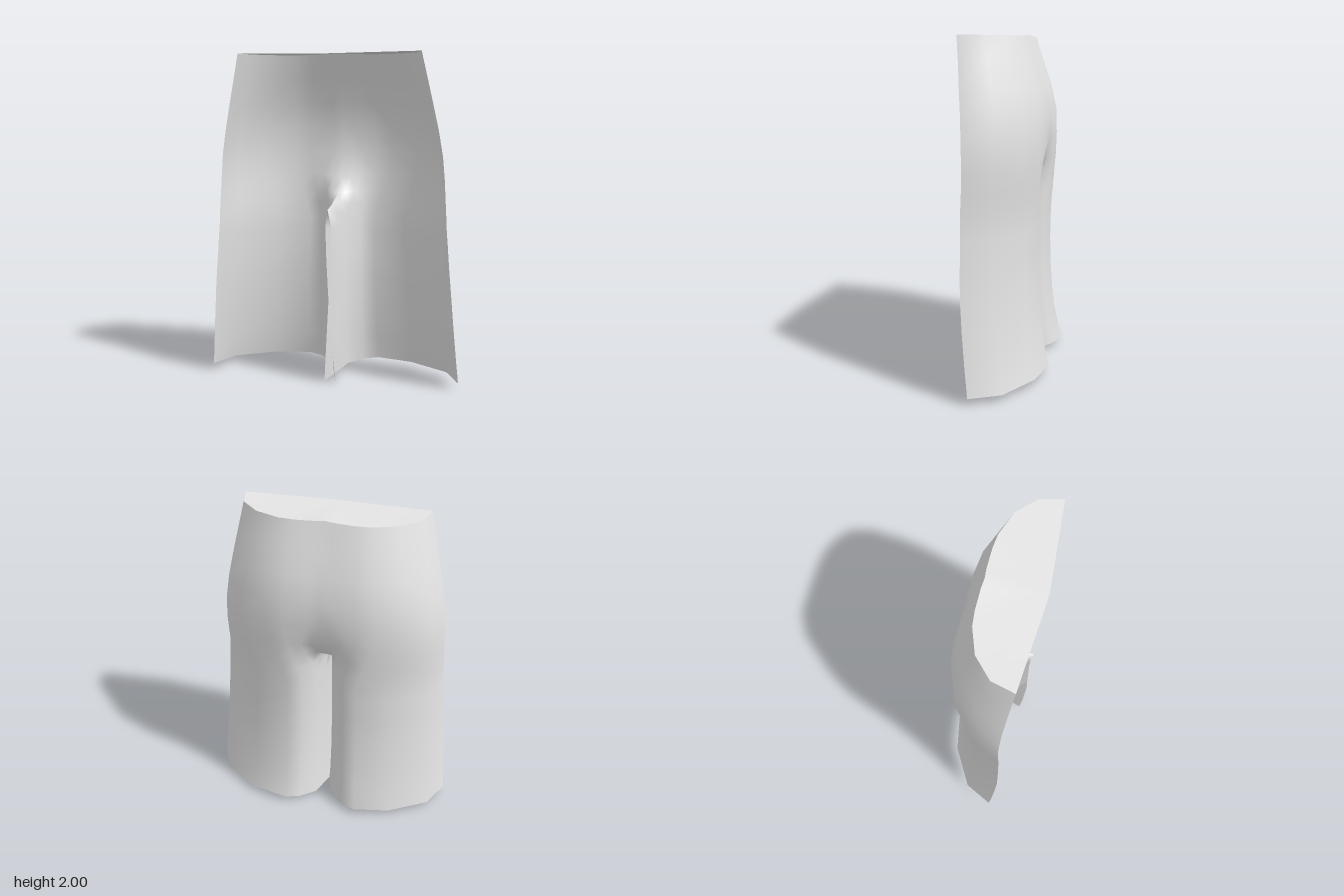
import * as THREE from 'three';
import { mergeVertices } from 'three/addons/utils/BufferGeometryUtils.js';

const lerp = THREE.MathUtils.lerp;

// Half cross-sections from the outer edge to the middle: [x / half width, depth fraction]
const HIP = [[1, 0], [0.94, 0.45], [0.74, 0.8], [0.48, 0.97], [0.32, 1], [0.2, 1], [0.1, 1]];
const LEG = [[1, 0], [0.89, 0.49], [0.585, 0.88], [0.3, 1], [0.18, 0.9], [0.068, 0.68], [0.026, 0.38]];
// How far each point's height follows the inner end
const PULL = [0, 0, 0, 0, 0.1, 0.35, 0.65];

// y, half width, z of outer edge, z of back, hip-to-leg blend, inner end x, y, z
const ROWS = [
  [1.99, 0.54, 0.205, -0.09, 0, 0, 2.0, -0.085],
  [1.85, 0.572, 0.19, -0.135, 0, 0, 1.85, -0.132],
  [1.7, 0.606, 0.177, -0.185, 0, 0, 1.7, -0.182],
  [1.55, 0.639, 0.163, -0.215, 0, 0, 1.55, -0.212],
  [1.4, 0.665, 0.155, -0.217, 0, 0, 1.38, -0.21],
  [1.27, 0.677, 0.15, -0.213, 0.2, 0, 1.23, -0.175],
  [1.16, 0.684, 0.152, -0.205, 0.5, 0, 1.145, -0.09],
  [1.07, 0.69, 0.155, -0.2, 0.8, 0, 1.105, 0.05],
  [0.98, 0.695, 0.155, -0.193, 1, 0, 1.08, 0.2],
  [0.9, 0.702, 0.155, -0.189, 1, 0.017, 0.98, 0.188],
];
const LEG_ROWS = [
  [0.75, 0.714, 0.155, -0.186, 1, 0.013, 0.78, 0.18],
  [0.6, 0.728, 0.153, -0.187, 1, 0.004, 0.6, 0.18],
  [0.4, 0.745, 0.14, -0.2, 1, -0.008, 0.38, 0.18],
  [0.2, 0.763, 0.122, -0.222, 1, -0.022, 0.18, 0.165],
  [0.045, 0.778, 0.105, -0.252, 1, -0.035, 0.005, 0.145],
];

// One row of points, on one side
function section([y, w, zEdge, zBack, t, ex, ey, ez], side) {
  const points = HIP.map(([hx, hf], i) => {
    const x = lerp(hx, LEG[i][0], t) * w;
    const z = lerp(zEdge, zBack, lerp(hf, LEG[i][1], t));
    return [side * x, lerp(y, ey, PULL[i]), z];
  });
  points.push([side * ex, ey, ez]);
  return points;
}

function shell(rows) {
  const pos = [], index = [];
  const n = HIP.length + 1;
  for (const side of [1, -1]) {
    const base = pos.length / 3;
    rows.forEach((row) => section(row, side).forEach((p) => pos.push(...p)));
    for (let r = 0; r < rows.length - 1; r++) {
      for (let c = 0; c < n - 1; c++) {
        const a = base + r * n + c, b = a + 1, d = a + n, e = d + 1;
        if (side > 0) index.push(a, d, b, b, d, e);
        else index.push(a, b, d, b, e, d);
      }
    }
  }
  let g = new THREE.BufferGeometry();
  g.setAttribute('position', new THREE.Float32BufferAttribute(pos, 3));
  g.setIndex(index);
  // Weld the centre seam so shading runs smoothly across it
  g = mergeVertices(g, 1e-4);
  g.computeVertexNormals();
  return g;
}

// Flat lid across the waist, fanned from its front point
function waistLid() {
  const left = section(ROWS[0], 1), right = section(ROWS[0], -1).reverse().slice(1);
  const rim = [...left, ...right];
  const pos = [0, 1.98, 0.245, ...rim.flat()];
  const index = [];
  for (let i = 1; i < rim.length; i++) index.push(0, i, i + 1);
  const g = new THREE.BufferGeometry();
  g.setAttribute('position', new THREE.Float32BufferAttribute(pos, 3));
  g.setIndex(index);
  g.computeVertexNormals();
  return g;
}

export function createModel() {
  const cloth = new THREE.MeshStandardMaterial({ color: 0xe5e5e5, side: THREE.DoubleSide });
  cloth.name = 'light grey cloth';
  const model = new THREE.Group();
  model.name = 'shortsBackHalf';

  const body = new THREE.Mesh(shell([...ROWS, ...LEG_ROWS]), cloth);
  body.name = 'backPanelAndLegs';
  const lid = new THREE.Mesh(waistLid(), cloth);
  lid.name = 'waistLid';
  model.add(body, lid);
  return model;
}
